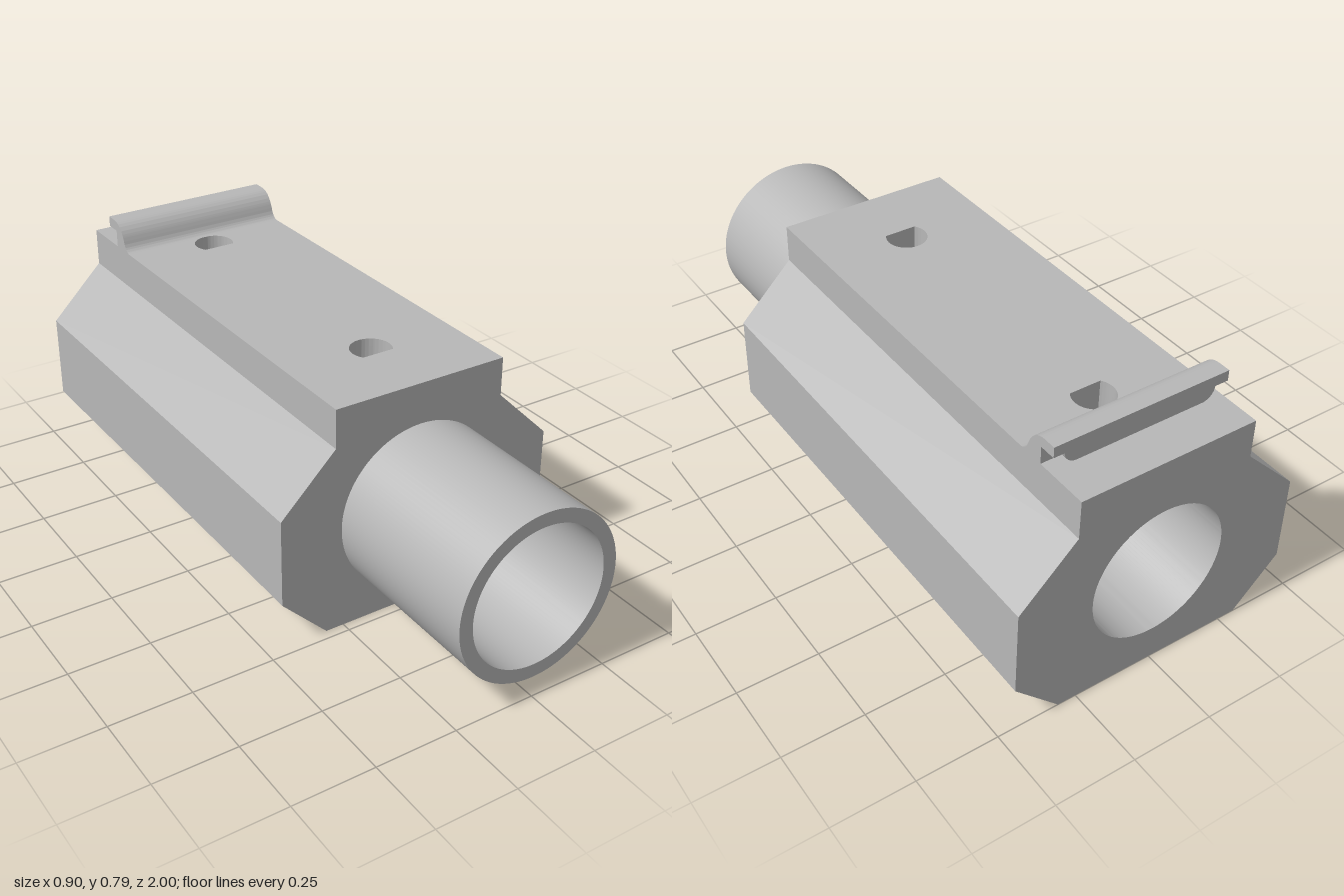
import * as THREE from 'three';
import { toCreasedNormals } from 'three/addons/utils/BufferGeometryUtils.js';

const BORE_Y = 0.323, BORE_R = 0.215, TUBE_R = 0.257;
const TOP = 0.706, BACK = -1, FACE = 0.47, FRONT = 1;
const SLAB = 0.075; // half width of the drilled strip above the bore

const extrude = (shape, depth) =>
  new THREE.ExtrudeGeometry(shape, { depth, bevelEnabled: false, curveSegments: 64 });

// Round hole running to a point towards the front
function teardrop(z) {
  const r = 0.062, tip = 0.105, a = Math.acos(r / tip);
  const path = new THREE.Path();
  path.moveTo(0, -z - tip);
  path.absarc(0, -z, r, -Math.PI / 2 + a, Math.PI * 1.5 - a, false);
  path.closePath();
  return path;
}

export function createModel() {
  const group = new THREE.Group();
  const grey = new THREE.MeshStandardMaterial({ color: 0xb8b8b8 });
  grey.name = 'grey';
  const add = (name, geometry) => {
    const mesh = new THREE.Mesh(geometry, grey);
    mesh.name = name;
    group.add(mesh);
  };
  const smooth = (g) => toCreasedNormals(g, 0.5);

  // Faceted housing around the bore, open above it for the drilled strip
  const side = [[0.307, 0], [0.45, 0.145], [0.45, 0.416], [0.277, 0.587], [0.277, TOP], [SLAB, TOP]];
  const a0 = Math.acos(SLAB / BORE_R);
  const profile = new THREE.Shape();
  profile.moveTo(-0.307, 0);
  side.forEach(([x, y]) => profile.lineTo(x, y));
  profile.absarc(0, BORE_Y, BORE_R, a0, Math.PI - a0, true);
  [...side].reverse().slice(0, -1).forEach(([x, y]) => profile.lineTo(-x, y));
  profile.closePath();
  add('housing', smooth(extrude(profile, FACE - BACK).translate(0, 0, BACK)));

  // Drilled strip: plan shape with teardrop holes, underside bent onto the bore
  const plan = new THREE.Shape();
  const steps = 6;
  for (let i = 0; i <= steps; i++) {
    const x = -SLAB + (2 * SLAB * i) / steps;
    if (i === 0) plan.moveTo(x, -FACE); else plan.lineTo(x, -FACE);
  }
  for (let i = steps; i >= 0; i--) plan.lineTo(-SLAB + (2 * SLAB * i) / steps, -BACK);
  plan.closePath();
  plan.holes.push(teardrop(-0.69), teardrop(0.224));
  let strip = extrude(plan, TOP).rotateX(-Math.PI / 2);
  const p = strip.attributes.position;
  for (let i = 0; i < p.count; i++) {
    if (p.getY(i) < 0.01) p.setY(i, BORE_Y + Math.sqrt(BORE_R ** 2 - p.getX(i) ** 2));
  }
  strip = smooth(strip);
  const sp = strip.attributes.position, sn = strip.attributes.normal;
  for (let i = 0; i < sp.count; i++) {
    if (sn.getY(i) < -0.8) sn.setXYZ(i, -sp.getX(i) / BORE_R, (BORE_Y - sp.getY(i)) / BORE_R, 0);
  }
  add('drilledStrip', strip);

  // Front tube
  const ring = new THREE.Shape().absarc(0, BORE_Y, TUBE_R, 0, Math.PI * 2, false);
  ring.holes.push(new THREE.Path().absarc(0, BORE_Y, BORE_R, 0, Math.PI * 2, true));
  add('frontTube', smooth(extrude(ring, FRONT - FACE).translate(0, 0, FACE)));

  // Rear catch: curved ramp with a lip reaching backwards
  const hook = new THREE.Shape();
  hook.moveTo(-0.75, TOP);
  hook.quadraticCurveTo(-0.773, 0.708, -0.782, 0.735);
  hook.quadraticCurveTo(-0.8, 0.79, -0.845, 0.793);
  hook.lineTo(-0.885, 0.793);
  hook.lineTo(-0.885, 0.76);
  hook.lineTo(-0.835, 0.76);
  hook.lineTo(-0.835, TOP);
  hook.closePath();
  add('rearCatch', smooth(extrude(hook, 0.554).rotateY(-Math.PI / 2).translate(0.277, 0, 0)));

  // Bar below the lip with rounded lower corners
  const w = 0.24, r = 0.04, low = 0.717;
  const bar = new THREE.Shape();
  bar.moveTo(-w, 0.76);
  bar.absarc(-w + r, low + r, r, Math.PI, Math.PI * 1.5, false);
  bar.absarc(w - r, low + r, r, -Math.PI / 2, 0, false);
  bar.lineTo(w, 0.76);
  bar.closePath();
  add('catchBar', smooth(extrude(bar, 0.045).translate(0, 0, -0.88)));

  return group;
}
